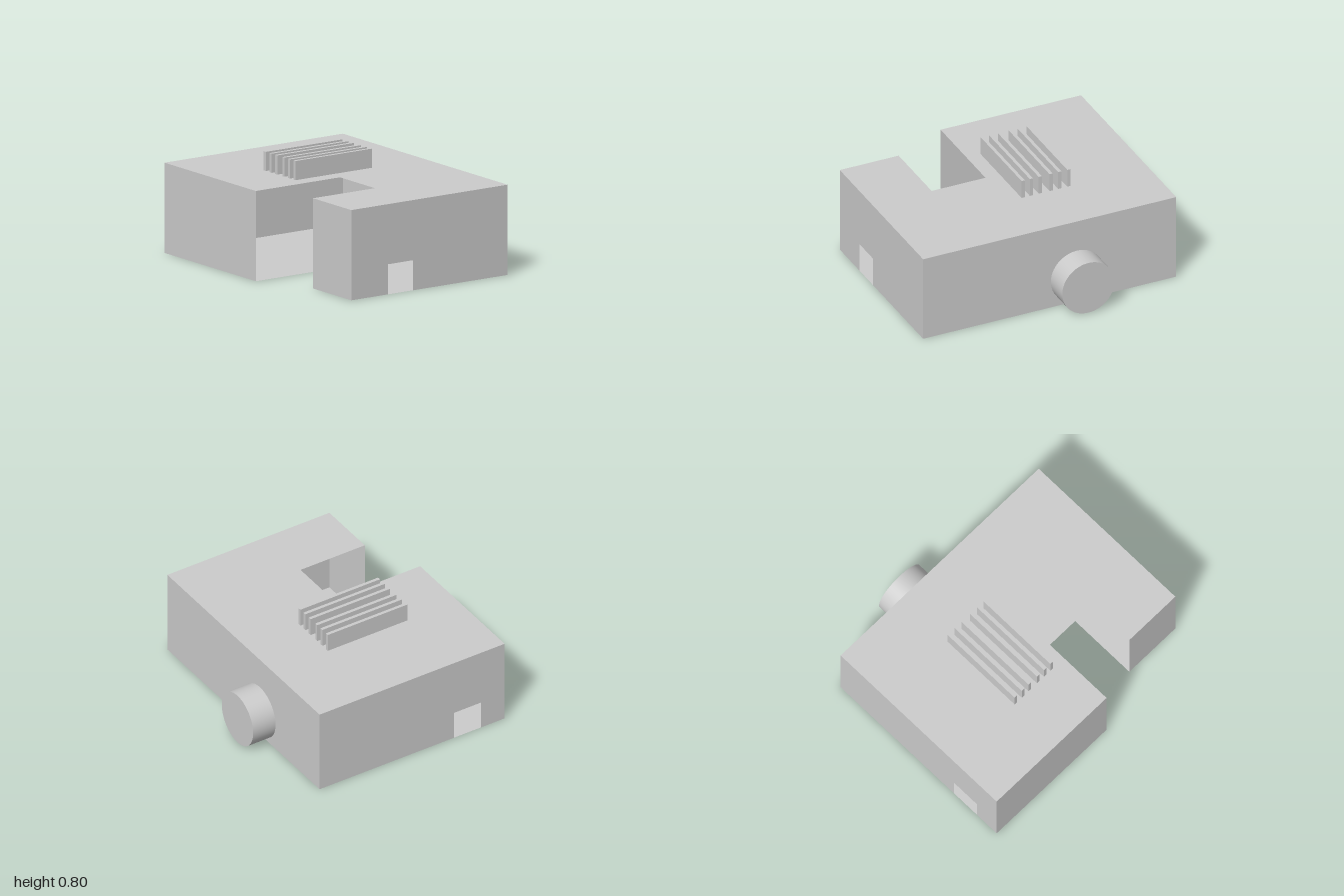
import * as THREE from 'three';

const HEIGHT = 0.66, BACK = -0.69, FRONT = 0.88, ARM_FRONT = 0.685;
const NOTCH_L = 0.11, NOTCH_R = 0.535, NOTCH_BACK = 0.14;

export function createModel() {
  const model = new THREE.Group();
  const shell = new THREE.MeshStandardMaterial({ color: 0xcccccc, side: THREE.DoubleSide });

  const add = (name, geometry) => {
    const mesh = new THREE.Mesh(geometry, shell);
    mesh.name = name;
    model.add(mesh);
    return mesh;
  };
  const outline = (points) => new THREE.Shape(points.map(([x, y]) => new THREE.Vector2(x, y)));
  const rect = (a, b) => [[a, 0], [b, 0], [b, HEIGHT], [a, HEIGHT]];
  // Wall with a doorway cut up from its bottom edge
  const doorWall = (a, b, d0, d1, h = 0.22) => outline(
    [[a, 0], [d0, 0], [d0, h], [d1, h], [d1, 0], [b, 0], [b, HEIGHT], [a, HEIGHT]]);

  // Roof and floor: the plan with its notch, open into the hollow body
  const plan = [[-1, BACK], [1, BACK], [1, ARM_FRONT], [NOTCH_R, ARM_FRONT],
    [NOTCH_R, NOTCH_BACK], [NOTCH_L, NOTCH_BACK], [NOTCH_L, FRONT], [-1, FRONT]];
  add('floor', new THREE.ShapeGeometry(outline(plan)).rotateX(Math.PI / 2));
  add('roof', new THREE.ShapeGeometry(outline(plan.map(([x, z]) => [x, -z]))).rotateX(-Math.PI / 2))
    .position.y = HEIGHT;

  // Front walls either side of the notch
  add('frontWall', new THREE.ShapeGeometry(outline(rect(-1, NOTCH_L)))).position.z = FRONT;
  add('armFrontWall', new THREE.ShapeGeometry(outline(rect(NOTCH_R, 1)))).position.z = ARM_FRONT;

  // Side walls with doorways
  add('leftWall', new THREE.ShapeGeometry(doorWall(-ARM_FRONT, -BACK, -0.36, -0.14)).rotateY(Math.PI / 2))
    .position.x = 1;
  add('rightWall', new THREE.ShapeGeometry(doorWall(BACK, FRONT, 0.45, 0.68)).rotateY(-Math.PI / 2))
    .position.x = -1;

  // Back wall, with a round hole leading into the drum
  const drum = { x: -0.215, y: 0.212, r: 0.206, depth: 0.19 };
  const backShape = outline(rect(-1, 1));
  backShape.holes.push(new THREE.Path().absarc(-drum.x, drum.y, drum.r, 0, Math.PI * 2, true));
  add('backWall', new THREE.ShapeGeometry(backShape, 32).rotateY(Math.PI)).position.z = BACK;

  // Drum: a hollow round bay closed at its outer end
  add('drumSide', new THREE.CylinderGeometry(drum.r, drum.r, drum.depth, 64, 1, true).rotateX(Math.PI / 2))
    .position.set(drum.x, drum.y, BACK - drum.depth / 2);
  add('drumEnd', new THREE.CircleGeometry(drum.r, 64).rotateY(Math.PI))
    .position.set(drum.x, drum.y, BACK - drum.depth);

  // Row of thin roof fins
  for (const x of [-0.375, -0.303, -0.235, -0.149, -0.079, -0.014]) {
    add('roofFin', new THREE.BoxGeometry(0.025, 0.14, 0.675)).position.set(x, HEIGHT + 0.07, 0.113);
  }
  return model;
}
